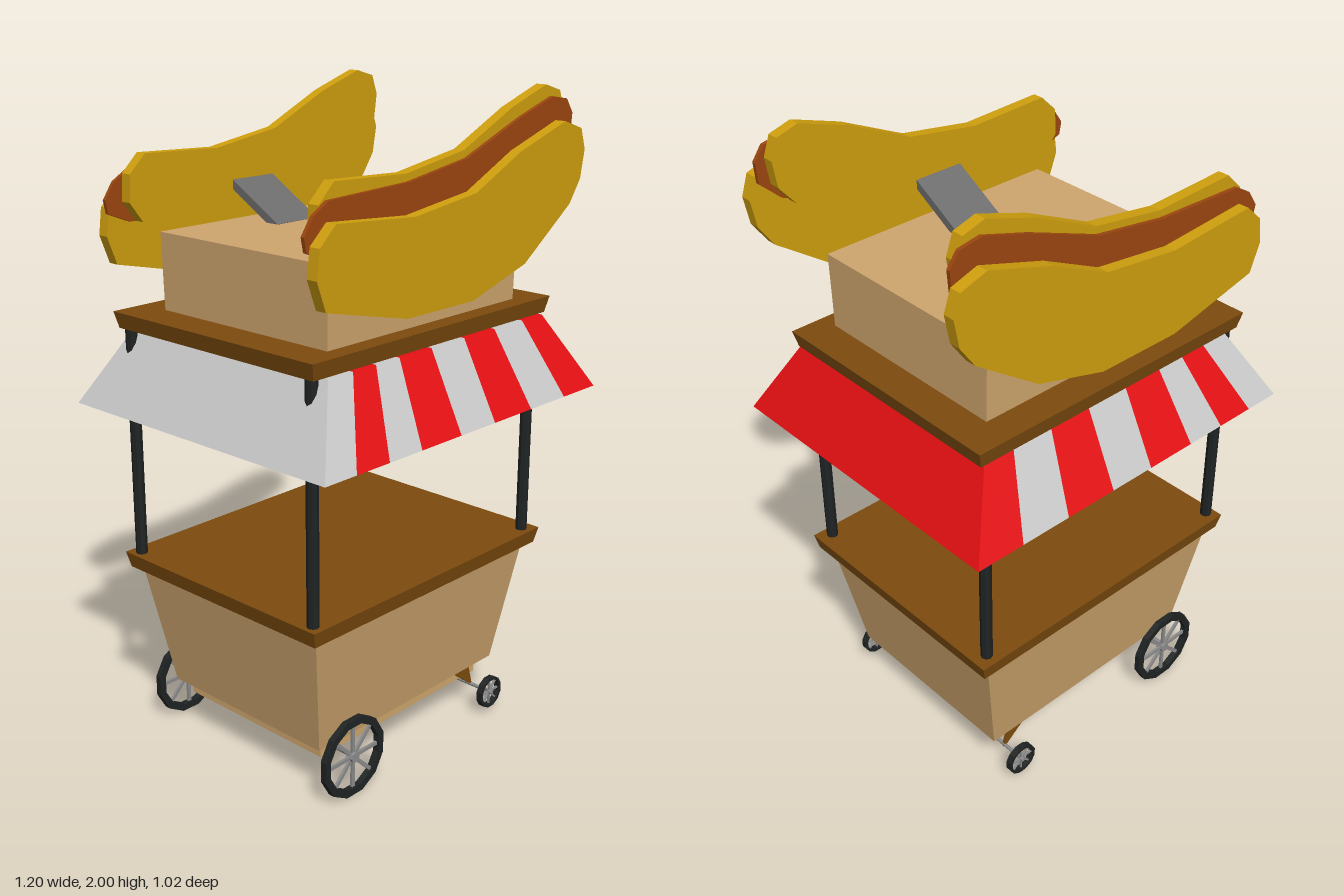
import * as THREE from 'three';

const COLORS = {
  tan: 0xcfa66e, wood: 0x7d4c0e, black: 0x202323, red: 0xe60f12, pale: 0xcccccc,
  metal: 0x8c8c8c, support: 0x6c6c6c, bun: 0xcf9f0e, sausage: 0x9c460f,
};
const materials = {};
for (const key in COLORS) {
  materials[key] = new THREE.MeshStandardMaterial({ color: COLORS[key], flatShading: true });
}
for (const key of ['red', 'pale']) materials[key].side = THREE.DoubleSide;

function add(parent, name, geometry, material, x = 0, y = 0, z = 0) {
  const mesh = new THREE.Mesh(geometry, materials[material]);
  mesh.name = name;
  mesh.position.set(x, y, z);
  parent.add(mesh);
  return mesh;
}

// Box whose bottom and top rectangles [x0, x1, z0, z1] may differ
function taperedBox(parent, name, material, y0, y1, bottom, top) {
  const g = new THREE.BoxGeometry(1, 1, 1);
  const p = g.attributes.position;
  for (let i = 0; i < p.count; i++) {
    const up = p.getY(i) > 0;
    const r = up ? top : bottom;
    p.setXYZ(i, r[p.getX(i) > 0 ? 1 : 0], up ? y1 : y0, r[p.getZ(i) > 0 ? 3 : 2]);
  }
  g.computeVertexNormals();
  return add(parent, name, g, material);
}

// Four-cornered panel, corners in order around the edge
function panel(parent, name, material, corners) {
  const g = new THREE.BufferGeometry();
  g.setAttribute('position', new THREE.Float32BufferAttribute(corners.flat(), 3));
  g.setIndex([0, 1, 2, 0, 2, 3]);
  g.computeVertexNormals();
  return add(parent, name, g, material);
}

// Flat outline given thickness along z
function slab(points, depth, hole) {
  const toVectors = (list) => list.map(([x, y]) => new THREE.Vector2(x, y));
  const shape = new THREE.Shape(toVectors(points));
  if (hole) shape.holes.push(new THREE.Path(toVectors(hole)));
  return new THREE.ExtrudeGeometry(shape, { depth, bevelEnabled: false });
}

function ring(radius, sides = 12) {
  return Array.from({ length: sides }, (_, i) => {
    const a = ((i + 0.5) / sides) * Math.PI * 2;
    return [radius * Math.cos(a), radius * Math.sin(a)];
  });
}

function wheel(name, radius, x, y, z) {
  const group = new THREE.Group();
  group.name = name;
  const width = 0.02;
  add(group, 'rim', slab(ring(radius), width, ring(radius * 0.82)), 'black', 0, 0, -width / 2);
  for (let i = 0; i < 4; i++) {
    const spoke = new THREE.BoxGeometry(radius * 1.7, radius * 0.09, 0.008);
    add(group, 'spoke', spoke, 'metal').rotation.z = (i * Math.PI) / 4;
  }
  const hub = new THREE.CylinderGeometry(radius * 0.13, radius * 0.13, 0.026, 8);
  add(group, 'hub', hub, 'metal').rotation.x = Math.PI / 2;
  group.position.set(x, y, z);
  return group;
}

// Layered bun and sausage outlines
const OUTER_BUN = [
  [-0.476, 1.728], [-0.175, 1.706], [0.08, 1.738], [0.275, 1.83], [0.487, 1.897],
  [0.571, 1.87], [0.593, 1.807], [0.577, 1.722], [0.529, 1.653], [0.317, 1.505],
  [0.08, 1.437], [-0.2, 1.437], [-0.513, 1.51], [-0.545, 1.595], [-0.534, 1.675],
];
const SAUSAGE = [
  [-0.519, 1.749], [-0.466, 1.78], [-0.16, 1.791], [0.08, 1.828], [0.317, 1.918],
  [0.47, 1.966], [0.54, 1.955], [0.571, 1.913], [0.566, 1.85], [0.5, 1.79],
  [0.3, 1.71], [0.08, 1.645], [-0.18, 1.62], [-0.47, 1.63], [-0.545, 1.66], [-0.553, 1.7],
];
const INNER_BUN = [
  [-0.434, 1.823], [-0.16, 1.812], [0.08, 1.85], [0.29, 1.947], [0.45, 2],
  [0.52, 1.98], [0.542, 1.92], [0.53, 1.84], [0.475, 1.775], [0.29, 1.635],
  [0.08, 1.57], [-0.18, 1.57], [-0.45, 1.63], [-0.495, 1.69], [-0.49, 1.77],
];

export function createModel() {
  const model = new THREE.Group();
  model.name = 'foodCart';

  // Cart body
  taperedBox(model, 'underframe', 'tan', 0.11, 0.16,
    [-0.37, 0.355, -0.3, 0.265], [-0.37, 0.355, -0.3, 0.265]);
  taperedBox(model, 'cartBody', 'tan', 0.16, 0.56,
    [-0.407, 0.397, -0.333, 0.297], [-0.478, 0.468, -0.39, 0.355]);

  // Counter and roof board share one shape
  for (const [name, y] of [['counter', 0.56], ['roofBoard', 1.32]]) {
    taperedBox(model, name, 'wood', y, y + 0.05,
      [-0.507, 0.498, -0.41, 0.38], [-0.519, 0.51, -0.42, 0.39]);
  }
  taperedBox(model, 'roofBox', 'tan', 1.37, 1.6,
    [-0.405, 0.4, -0.322, 0.332], [-0.407, 0.4, -0.328, 0.339]);

  // Corner posts
  for (const x of [-0.488, 0.463]) {
    for (const z of [-0.38, 0.355]) {
      add(model, 'post', new THREE.CylinderGeometry(0.018, 0.018, 0.74, 8), 'black', x, 0.96, z);
    }
  }

  // Striped awning: front and back slopes, ceiling, plain sides
  const awning = new THREE.Group();
  awning.name = 'awning';
  model.add(awning);
  const low = [-0.598, -0.48, -0.352, -0.22, -0.052, 0.1, 0.273, 0.44, 0.598];
  const high = [-0.465, -0.37, -0.28, -0.185, -0.05, 0.095, 0.235, 0.37, 0.47];
  const yLow = 1.09, yHigh = 1.319, zLow = 0.508, zHigh = 0.392;
  for (let i = 0; i < 8; i++) {
    const color = i % 2 ? 'red' : 'pale';
    for (const s of [1, -1]) {
      const c = [
        [low[i], yLow, s * zLow], [low[i + 1], yLow, s * zLow],
        [high[i + 1], yHigh, s * zHigh], [high[i], yHigh, s * zHigh],
      ];
      panel(awning, s > 0 ? 'frontStripe' : 'backStripe', color, s > 0 ? c : c.reverse());
    }
    panel(awning, 'ceilingStripe', color, [
      [high[i], yHigh, -zHigh], [high[i + 1], yHigh, -zHigh],
      [high[i + 1], yHigh, zHigh], [high[i], yHigh, zHigh],
    ]);
  }
  panel(awning, 'leftFlap', 'red', [
    [low[8], yLow, zLow], [low[8], yLow, -zLow], [high[8], yHigh, -zHigh], [high[8], yHigh, zHigh],
  ]);
  panel(awning, 'rightFlap', 'pale', [
    [low[0], yLow, -zLow], [low[0], yLow, zLow], [high[0], yHigh, zHigh], [high[0], yHigh, -zHigh],
  ]);

  // Wheels, axles and brackets for the small pair
  for (const z of [0.35, -0.382]) {
    model.add(wheel('largeWheel', 0.128, -0.322, 0.128, z));
    model.add(wheel('smallWheel', 0.053, 0.33, 0.075, z));
  }
  for (const [x, y, r] of [[-0.322, 0.132, 0.008], [0.33, 0.075, 0.006]]) {
    const axle = new THREE.CylinderGeometry(r, r, 0.75, 8);
    add(model, 'axle', axle, 'metal', x, y, -0.016).rotation.x = Math.PI / 2;
  }
  const bracket = [[0.22, 0.16], [0.335, 0.07], [0.31, 0.16]];
  for (const z of [0.265, -0.312]) add(model, 'wheelBracket', slab(bracket, 0.012), 'wood', 0, 0, z);

  // Roof signs, mirrored front and back, each held by a slanted support
  for (const s of [1, -1]) {
    const sign = new THREE.Group();
    sign.name = s > 0 ? 'frontSign' : 'backSign';
    const layers = [
      ['innerBun', INNER_BUN, 'bun', 0.35, 0.385],
      ['sausage', SAUSAGE, 'sausage', 0.385, 0.397],
      ['outerBun', OUTER_BUN, 'bun', 0.397, 0.432],
    ];
    for (const [name, outline, color, z0, z1] of layers) {
      add(sign, name, slab(outline, z1 - z0), color, 0, 0, s > 0 ? z0 : -z1);
    }
    const support = add(sign, 'signSupport', new THREE.BoxGeometry(0.165, 0.025, 0.23),
      'support', -0.019, 1.648, s * 0.265);
    support.rotation.x = -s * 0.53;
    model.add(sign);
  }
  return model;
}
